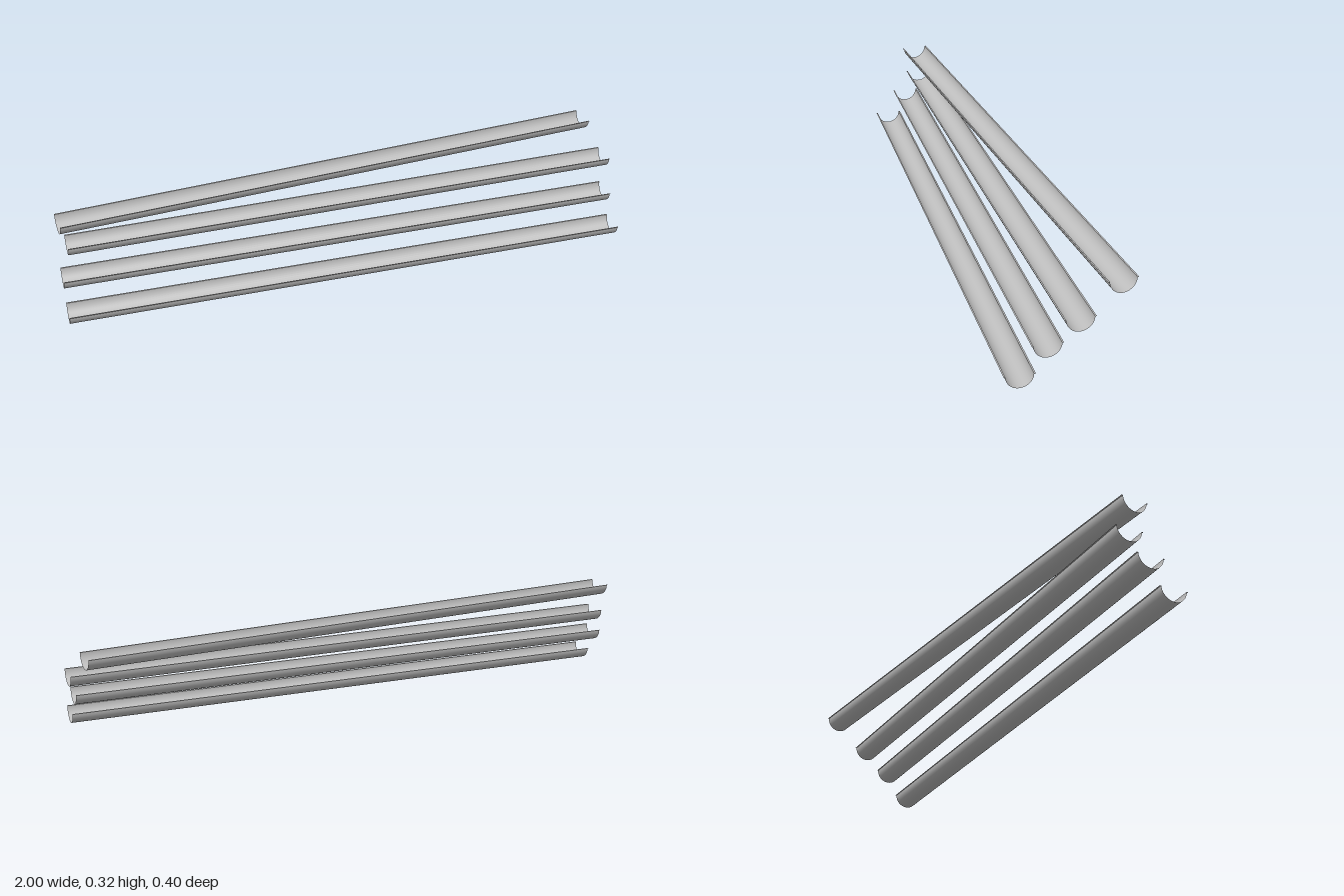
import * as THREE from 'three';

const RADIUS = 0.0435;
const LIP = 0.005;
const LENGTH = 1.961;

export function createModel() {
  const model = new THREE.Group();
  model.name = 'gutterStack';
  const metal = new THREE.MeshStandardMaterial({ color: 0xc0c0c0, side: THREE.DoubleSide });
  metal.name = 'light grey metal';

  // open half-round trough along x, rim at y = 0
  const troughGeometry = new THREE.CylinderGeometry(RADIUS, RADIUS, LENGTH, 20, 1, true, Math.PI, Math.PI);
  troughGeometry.rotateZ(Math.PI / 2);
  // flat outward-turned rim strip
  const lipGeometry = new THREE.PlaneGeometry(LENGTH, LIP).rotateX(-Math.PI / 2);

  // rim height, centre x, z of the -x end, z of the +x end
  const gutters = [
    [0.0445, -0.02, 0.069, 0.153],
    [0.137, -0.017, -0.004, 0.07],
    [0.23, 0.015, -0.053, -0.015],
    [0.321, -0.008, -0.044, -0.152],
  ];

  gutters.forEach(([y, x, zLeft, zRight], i) => {
    const gutter = new THREE.Group();
    gutter.name = `gutter${i + 1}`;
    const trough = new THREE.Mesh(troughGeometry, metal);
    trough.name = 'trough';
    gutter.add(trough);
    for (const side of [-1, 1]) {
      const lip = new THREE.Mesh(lipGeometry, metal);
      lip.name = side > 0 ? 'frontLip' : 'backLip';
      lip.position.z = side * (RADIUS + LIP / 2);
      gutter.add(lip);
    }
    gutter.position.set(x, y, (zLeft + zRight) / 2);
    gutter.rotation.y = -Math.asin((zRight - zLeft) / LENGTH);
    model.add(gutter);
  });
  return model;
}
